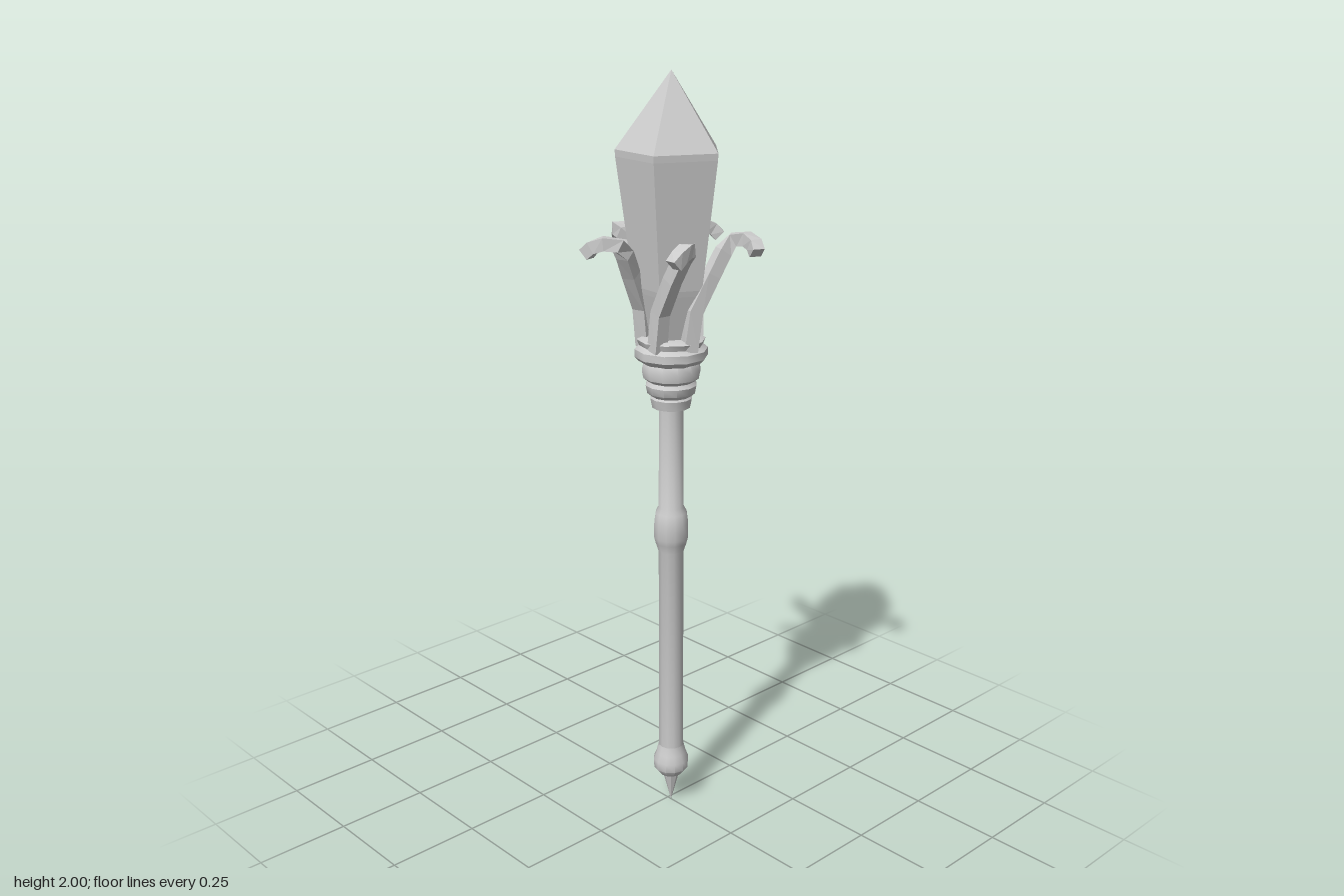
import * as THREE from 'three';
import { toCreasedNormals } from 'three/addons/utils/BufferGeometryUtils.js';

const smooth = new THREE.MeshStandardMaterial({ color: 0xcccccc });
const faceted = new THREE.MeshStandardMaterial({ color: 0xcccccc, flatShading: true });

// Turned part from [radius, height] pairs, listed bottom to top
function turned(name, profile, sides) {
  const points = profile.map(([r, y]) => new THREE.Vector2(r, y));
  const geometry = toCreasedNormals(new THREE.LatheGeometry(points, sides), 0.7);
  const mesh = new THREE.Mesh(geometry, smooth);
  mesh.name = name;
  return mesh;
}

// Square bar swept along a path, tapering to its tip, with closed ends
function squareBar(path, startHalf, endHalf) {
  const up = new THREE.Vector3(0, 1, 0);
  const positions = [], index = [];
  const last = path.length - 1;
  path.forEach((p, i) => {
    const t = path[Math.min(i + 1, last)].clone().sub(path[Math.max(i - 1, 0)]).normalize();
    const side = t.clone().cross(up).normalize();
    const top = side.clone().cross(t);
    const h = THREE.MathUtils.lerp(startHalf, endHalf, i / last);
    for (const [a, b] of [[-1, -1], [1, -1], [1, 1], [-1, 1]]) {
      const v = p.clone().addScaledVector(side, a * h).addScaledVector(top, b * h);
      positions.push(v.x, v.y, v.z);
    }
    if (i === last) return;
    for (let k = 0; k < 4; k++) {
      const a = i * 4 + k, b = i * 4 + (k + 1) % 4;
      index.push(a, b + 4, b, a, a + 4, b + 4);
    }
  });
  const e = last * 4;
  index.push(0, 1, 2, 0, 2, 3, e, e + 2, e + 1, e, e + 3, e + 2);
  // Side, top and travel direction are left-handed in the loop order: flip all faces
  for (let i = 0; i < index.length; i += 3) {
    [index[i + 1], index[i + 2]] = [index[i + 2], index[i + 1]];
  }
  const geometry = new THREE.BufferGeometry();
  geometry.setAttribute('position', new THREE.Float32BufferAttribute(positions, 3));
  geometry.setIndex(index);
  // Check the winding by signed volume, so the faces always look outwards
  let volume = 0;
  const at = (n) => new THREE.Vector3().fromArray(positions, n * 3);
  for (let i = 0; i < index.length; i += 3) {
    volume += at(index[i]).dot(at(index[i + 1]).cross(at(index[i + 2])));
  }
  if (volume < 0) geometry.setIndex(index.reverse());
  geometry.computeVertexNormals();
  return geometry;
}

export function createModel() {
  const model = new THREE.Group();
  model.name = 'crystalStaff';
  const staff = new THREE.Group();
  staff.name = 'staff';
  staff.position.x = 0.013;
  model.add(staff);

  // Handle with a bulge in the middle and a pommel
  staff.add(turned('shaft', [
    [0.034, 0.15], [0.034, 0.76], [0.042, 0.785], [0.046, 0.80], [0.046, 0.84],
    [0.042, 0.87], [0.034, 0.885], [0.032, 1.18],
  ], 12));
  staff.add(turned('pommel', [
    [0, 0.088], [0.032, 0.09], [0.048, 0.11], [0.049, 0.135], [0.041, 0.155], [0.035, 0.18],
  ], 12));
  staff.add(turned('spike', [[0, 0], [0.024, 0.092]], 8));

  // Stepped collar under the crystal
  staff.add(turned('collar', [
    [0, 1.158], [0.05, 1.16], [0.055, 1.185], [0.051, 1.19], [0.063, 1.20],
    [0.067, 1.22], [0.06, 1.23], [0.073, 1.24], [0.077, 1.26], [0.072, 1.28], [0.066, 1.285],
  ], 12));
  staff.add(turned('collarRim', [
    [0.064, 1.275], [0.085, 1.285], [0.094, 1.295], [0.094, 1.315], [0.082, 1.325],
    [0.088, 1.34], [0.075, 1.346], [0, 1.346],
  ], 10));

  // Five-sided crystal
  const crystalProfile = [
    [0, 1.33], [0.05, 1.33], [0.09, 1.46], [0.094, 1.475], [0.137, 1.795], [0.138, 1.812], [0, 2],
  ].map(([r, y]) => new THREE.Vector2(r, y));
  const crystal = new THREE.Mesh(new THREE.LatheGeometry(crystalProfile, 5), faceted);
  crystal.name = 'crystal';
  crystal.rotation.y = THREE.MathUtils.degToRad(29);
  staff.add(crystal);

  // Five claws spiralling out: [radius, angle in degrees, height]
  const clawPath = [
    [0.068, 34, 1.32], [0.074, 24, 1.42], [0.105, 1, 1.51], [0.13, -9, 1.565],
    [0.155, -13, 1.593], [0.187, -8, 1.598], [0.208, -3, 1.588], [0.219, 1, 1.57],
  ].map(([r, deg, y]) => {
    const a = THREE.MathUtils.degToRad(deg);
    return new THREE.Vector3(r * Math.cos(a), y, r * Math.sin(a));
  });
  const clawGeometry = squareBar(clawPath, 0.018, 0.0155);
  const claws = new THREE.Group();
  claws.name = 'claws';
  for (let i = 0; i < 5; i++) {
    const claw = new THREE.Mesh(clawGeometry, faceted);
    claw.name = 'claw';
    claw.rotation.y = -THREE.MathUtils.degToRad(185 + i * 72);
    claws.add(claw);
  }
  staff.add(claws);
  return model;
}
